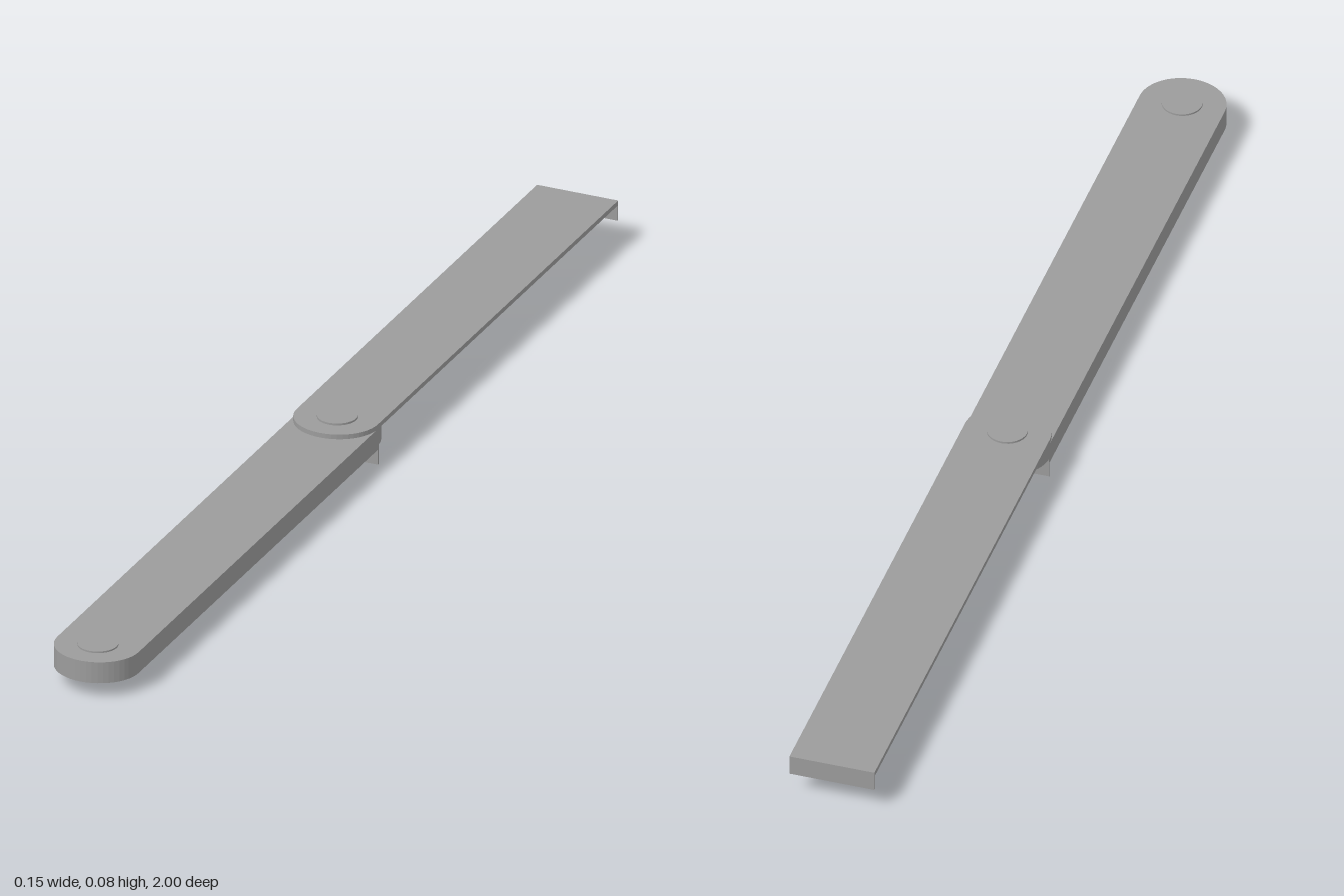
import * as THREE from 'three';

const HALF = 0.0745;    // half width of every bar
const CAP = 0.07;       // depth of the rounded ends
const FRONT = 0.93;     // front pivot z
const MIDDLE = -0.033;  // middle pivot z

const material = new THREE.MeshStandardMaterial({ color: 0x9c9c9c });

function add(parent, name, geometry, x = 0, y = 0, z = 0) {
  const mesh = new THREE.Mesh(geometry, material);
  mesh.name = name;
  mesh.position.set(x, y, z);
  parent.add(mesh);
}

// Flat bar from z = back to z = front, rounded at the front and optionally the back
function barGeometry(front, back, roundBack, y0, y1) {
  const shape = new THREE.Shape();
  shape.moveTo(HALF, -front);
  shape.lineTo(HALF, -back);
  if (roundBack) shape.absellipse(0, -back, HALF, CAP, 0, Math.PI, false);
  else shape.lineTo(-HALF, -back);
  shape.lineTo(-HALF, -front);
  shape.absellipse(0, -front, HALF, CAP, Math.PI, Math.PI * 2, false);
  const geometry = new THREE.ExtrudeGeometry(shape, { depth: y1 - y0, bevelEnabled: false, curveSegments: 12 });
  geometry.rotateX(-Math.PI / 2);
  geometry.translate(0, y0, 0);
  return geometry;
}

function rivet(parent, name, z, y0, y1) {
  add(parent, name, new THREE.CylinderGeometry(0.0345, 0.0345, y1 - y0, 32), 0, (y0 + y1) / 2, z);
}

// Thin blade pivoting at its round end, with a lip turned down at the square end
function blade(name, pivot, end, y0, y1) {
  const group = new THREE.Group();
  group.name = name;
  add(group, 'bladeStrip', barGeometry(pivot, end, false, y0, y1));
  add(group, 'bladeLip', new THREE.BoxGeometry(HALF * 2, 0.0275, 0.003), 0, y0 - 0.01375, end + 0.0015);
  return group;
}

export function createModel() {
  const model = new THREE.Group();
  model.name = 'foldingArm';

  // Thick middle link
  add(model, 'link', barGeometry(FRONT, MIDDLE, true, 0.036, 0.066));

  // Blade swung out to the back, and blade folded under the link
  model.add(blade('upperBlade', MIDDLE, -1, 0.066, 0.0745));
  model.add(blade('lowerBlade', FRONT, -0.037, 0.0275, 0.036));

  // Pivot rivets
  rivet(model, 'frontRivet', FRONT, 0.024, 0.069);
  rivet(model, 'middleRivet', MIDDLE, 0.033, 0.078);

  return model;
}
